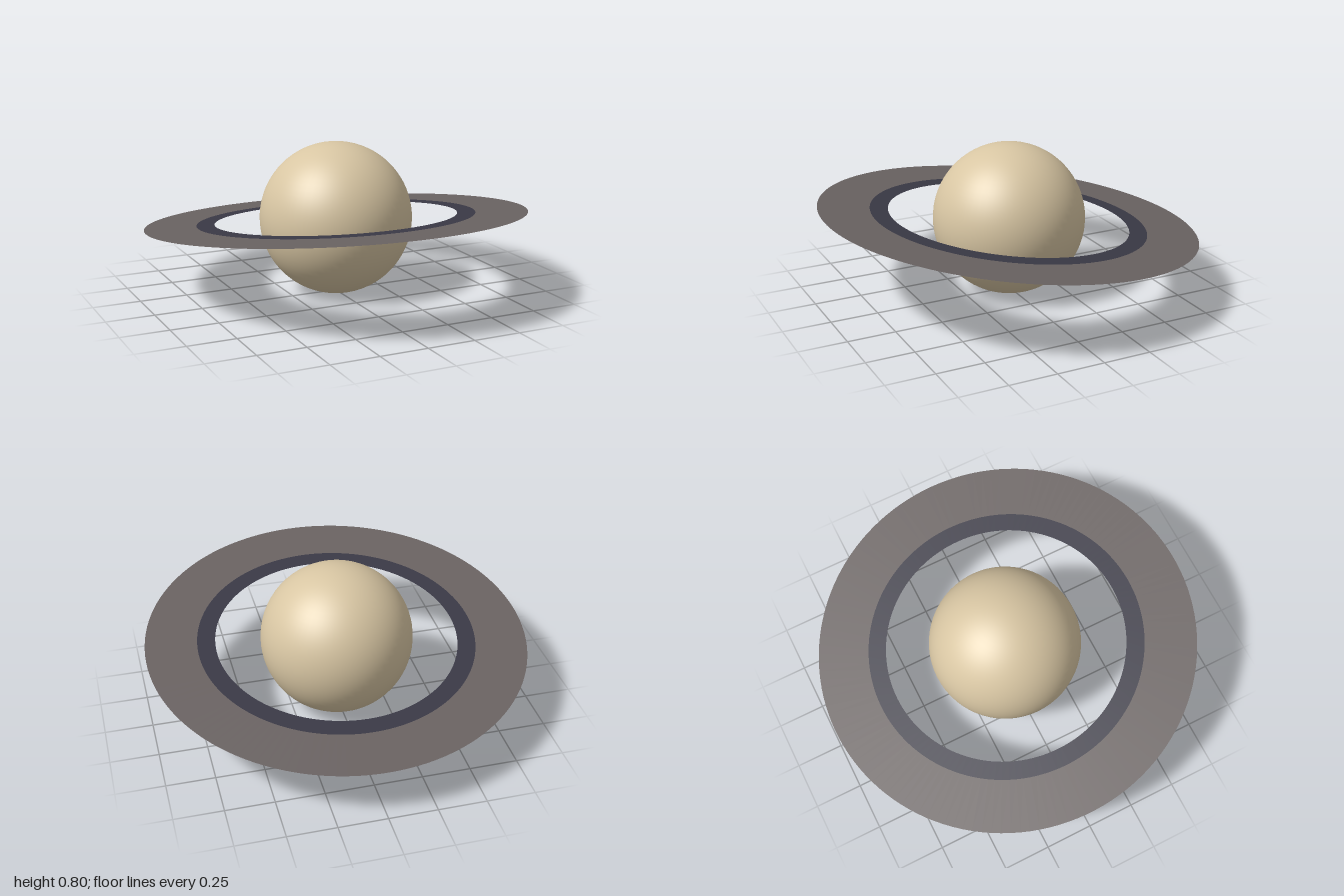
import * as THREE from 'three';

const material = (name, color, side = THREE.FrontSide) => {
  const m = new THREE.MeshStandardMaterial({ color, side });
  m.name = name;
  return m;
};

export function createModel() {
  const model = new THREE.Group();
  model.name = 'ringedPlanet';

  const sand = material('sand', 0xd8c6a3);
  const greyBrown = material('greyBrown', 0x6a6362, THREE.DoubleSide);
  const slate = material('slate', 0x3a3946, THREE.DoubleSide);

  // Smooth globe standing on the ground
  const globe = new THREE.Mesh(new THREE.SphereGeometry(0.4, 64, 40), sand);
  globe.name = 'globe';
  globe.position.y = 0.4;
  model.add(globe);

  // Flat rings in one plane, raised slightly at the front
  const rings = new THREE.Group();
  rings.name = 'rings';
  rings.position.y = 0.4;
  rings.rotation.x = -Math.PI / 2 - 0.118;
  const addRing = (name, inner, outer, mat) => {
    const ring = new THREE.Mesh(new THREE.RingGeometry(inner, outer, 128), mat);
    ring.name = name;
    rings.add(ring);
  };
  addRing('innerRing', 0.636, 0.73, slate);
  addRing('outerRing', 0.73, 1, greyBrown);
  model.add(rings);

  return model;
}
